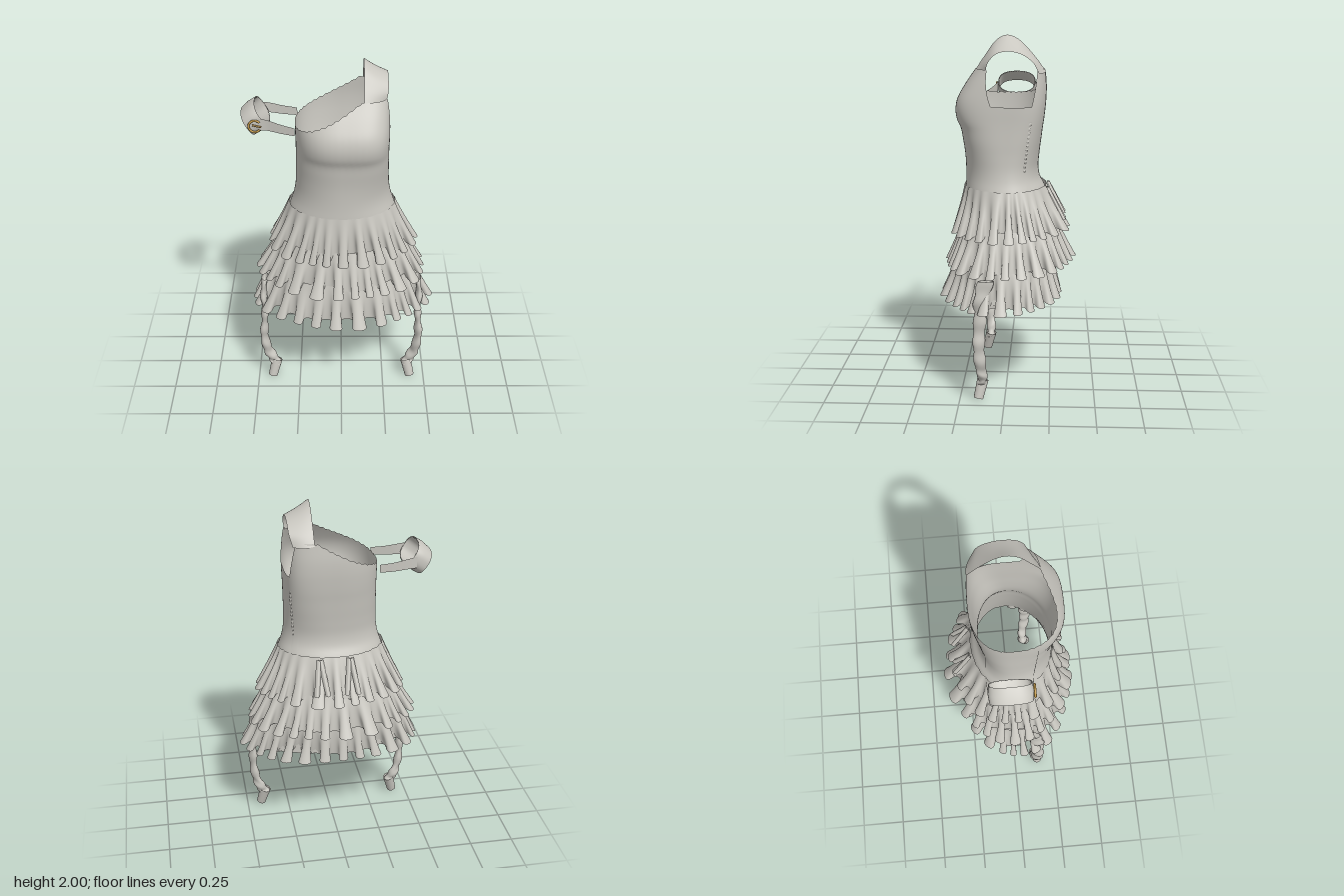
import * as THREE from 'three';

const fabric = new THREE.MeshStandardMaterial({ color: 0xc9c7c0, side: THREE.DoubleSide });
fabric.name = 'grey fabric';
const gold = new THREE.MeshStandardMaterial({ color: 0xc39a4a });
gold.name = 'gold metal';

const { lerp, clamp, smoothstep } = THREE.MathUtils;
const V = (x, y, z) => new THREE.Vector3(x, y, z);

function addMesh(parent, name, geometry, material = fabric) {
  const mesh = new THREE.Mesh(geometry, material);
  mesh.name = name;
  parent.add(mesh);
  return mesh;
}

// Smooth grid surface: point(u, v), u and v in 0..1; wrapped joins u = 1 to u = 0
function loft(cols, rows, wrapped, point) {
  const pos = [], index = [];
  const n = wrapped ? cols : cols + 1;
  for (let j = 0; j <= rows; j++) {
    for (let i = 0; i < n; i++) pos.push(...point(i / cols, j / rows).toArray());
  }
  for (let j = 0; j < rows; j++) {
    for (let i = 0; i < cols; i++) {
      const a = j * n + i, b = j * n + ((i + 1) % n), c = a + n, d = b + n;
      index.push(a, c, b, b, c, d);
    }
  }
  const g = new THREE.BufferGeometry();
  g.setAttribute('position', new THREE.Float32BufferAttribute(pos, 3));
  g.setIndex(index);
  g.computeVertexNormals();
  return g;
}

// Body sections: y, half width, front z, back z
const sections = [
  [0.56, 0.445, 0.295, 0.24], [0.8, 0.375, 0.25, 0.24], [1.05, 0.315, 0.235, 0.225],
  [1.14, 0.296, 0.238, 0.212], [1.2, 0.276, 0.236, 0.183], [1.26, 0.264, 0.236, 0.174],
  [1.34, 0.259, 0.24, 0.18], [1.42, 0.258, 0.25, 0.19], [1.49, 0.257, 0.262, 0.199],
  [1.53, 0.257, 0.28, 0.205], [1.59, 0.258, 0.289, 0.212], [1.65, 0.258, 0.278, 0.217],
  [1.72, 0.256, 0.24, 0.218], [1.82, 0.25, 0.172, 0.21],
];
const profile = new THREE.CubicInterpolant(
  sections.map(s => s[0]), sections.flatMap(s => s.slice(1)), 3, new Float32Array(3));

function bodyPoint(a, y) {
  const [rx, zf, zb] = profile.evaluate(y);
  const c = Math.cos(a), s = Math.sin(a);
  const e = lerp(2.1, c > 0 ? 3.6 : 2.4, smoothstep(y, 1.2, 1.65));
  const r = Math.pow(Math.abs(c) ** e + Math.abs(s) ** e, -1 / e);
  return V(rx * r * c + 0.006, y, (s > 0 ? zf : zb) * r * s);
}

// Top edge: slanted neckline on one side, armhole on the other
function topEdge(a) {
  const p = bodyPoint(a, 1.63);
  const t = clamp((p.x + 0.25) / 0.36, 0, 1);
  if (p.x < 0.14) {
    return lerp(1.65, 1.82, t) - 0.015 * Math.sin(Math.PI * t) + 0.003 * Math.sin(45 * a);
  }
  const k = p.z > 0 ? (p.z - 0.08) / 0.09 : (-p.z - 0.14) / 0.035;
  return lerp(1.62, 1.82, clamp(k, 0, 1));
}

// Ruffled tier: top and bottom are [half width, front z, back z, y]
function ruffle(top, bottom, folds, amp, tilt, seed) {
  return loft(folds * 18, 14, true, (u, v) => {
    const a = u * Math.PI * 2;
    const c = Math.cos(a), s = Math.sin(a);
    const [rx, zf, zb, y] = top.map((n, i) => lerp(n, bottom[i], v));
    const rz = s > 0 ? zf : zb;
    const normal = V(c / rx, 0, s / rz).normalize();
    const tangent = V(-normal.z, 0, normal.x);
    const phase = folds * a + 1.2 * Math.sin(3 * a + seed) + 0.9 * Math.sin(5 * a + seed * 2.3)
      + 0.5 * (1 - v) * Math.sin(9 * a + seed);
    const size = amp * (0.06 + 0.94 * Math.pow(v, 1.4)) * (1 + 0.3 * Math.sin(5 * a + seed * 1.7));
    const p = V(rx * c + 0.004, y - v * (tilt * s + 0.01 * Math.cos(phase)), rz * s);
    p.addScaledVector(normal, size * Math.cos(phase));
    return p.addScaledVector(tangent, 0.42 * size * v * Math.sin(2 * phase));
  });
}

// Flat ribbon along a path with vertical height
function sideRibbon(points, h0, h1) {
  const path = new THREE.CatmullRomCurve3(points);
  return loft(16, 2, false, (u, v) => {
    const p = path.getPoint(u);
    p.y += (v - 0.5) * lerp(h0, h1, u);
    return p;
  });
}

export function createModel() {
  const dress = new THREE.Group();
  dress.name = 'dress';

  // Bodice, running down inside the skirt as its lining
  addMesh(dress, 'bodiceAndLining', loft(240, 72, true, (u, v) => {
    const a = u * Math.PI * 2;
    return bodyPoint(a, lerp(0.56, topEdge(a), v));
  }));

  // Shoulder strap between its neck edge and its arm edge
  const neckEdge = new THREE.CatmullRomCurve3([
    V(0.12, 1.81, 0.174), V(0.12, 1.89, 0.12), V(0.12, 1.975, 0.055), V(0.12, 2, 0),
    V(0.12, 1.98, -0.06), V(0.12, 1.89, -0.15), V(0.12, 1.81, -0.21)]);
  const armEdge = new THREE.CatmullRomCurve3([
    V(0.236, 1.8, 0.11), V(0.248, 1.85, 0.1), V(0.25, 1.9, 0.06), V(0.25, 1.918, 0),
    V(0.25, 1.905, -0.08), V(0.248, 1.86, -0.145), V(0.232, 1.8, -0.178)]);
  addMesh(dress, 'shoulderStrap', loft(40, 8, false, (u, v) => {
    const p = neckEdge.getPoint(u).lerp(armEdge.getPoint(u), v);
    const bulge = Math.sin(Math.PI * v);
    p.y -= 0.006 * bulge;
    p.z += 0.012 * bulge * Math.cos(Math.PI * u);
    return p;
  }));

  // Gathered side seam
  addMesh(dress, 'sideSeam', loft(4, 60, false, (u, v) => {
    const p = bodyPoint(-0.6 + (u - 0.5) * 0.06, lerp(1.26, 1.54, v));
    const lift = 0.002 + 0.002 * Math.sin(Math.PI * u) * (1 + Math.sin(v * 75));
    return p.add(V(lift, 0, -lift));
  }));

  // Three skirt tiers
  addMesh(dress, 'upperRuffle', ruffle([0.3, 0.243, 0.22, 1.16], [0.397, 0.285, 0.322, 0.91], 25, 0.034, 0.012, 1));
  addMesh(dress, 'middleRuffle', ruffle([0.36, 0.256, 0.28, 0.95], [0.455, 0.327, 0.352, 0.725], 26, 0.037, 0.012, 2.6));
  addMesh(dress, 'lowerRuffle', ruffle([0.42, 0.29, 0.262, 0.75], [0.49, 0.345, 0.28, 0.535], 27, 0.038, 0.012, 4.1));

  // Ribbon tails on the back of the upper tier
  for (const x of [-0.07, 0.1]) {
    for (const side of [-1, 1]) {
      addMesh(dress, 'backRibbonTail', loft(6, 14, false, (u, v) => V(
        x + side * (0.028 * v + 0.004) + (u - 0.5) * 0.03,
        1.155 - 0.18 * v,
        -0.222 - 0.095 * v - 0.016 * Math.sin(Math.PI * u))));
    }
  }

  // Arm band with its two links and buckle
  const arm = new THREE.Group();
  arm.name = 'armBand';
  dress.add(arm);
  const axis = V(0.78, 0.62, 0), across = V(-0.55, 0.83, 0);
  const squared = n => Math.sign(n) * Math.abs(n) ** 0.8;
  const outline = (t, grow) => V(-0.47, 1.661, -0.035)
    .addScaledVector(across, (0.074 + grow) * squared(Math.cos(t)))
    .add(V(0, 0, (0.112 + grow) * squared(Math.sin(t))));
  // closed cross-section: outer face, then inner face
  const bandSection = [[-0.048, 0], [0, 0.005], [0.048, 0], [0.046, -0.006], [-0.046, -0.006], [-0.048, 0]];
  addMesh(arm, 'cuff', loft(64, 5, true, (u, v) => {
    const [w, g] = bandSection[Math.round(v * 5)];
    return outline(u * Math.PI * 2, g).addScaledVector(axis, w);
  }));
  addMesh(arm, 'frontLink', sideRibbon(
    [V(-0.25, 1.635, 0.13), V(-0.33, 1.643, 0.105), V(-0.4, 1.655, 0.085), V(-0.45, 1.66, 0.08)], 0.045, 0.07));
  addMesh(arm, 'backLink', sideRibbon(
    [V(-0.245, 1.635, -0.145), V(-0.33, 1.643, -0.152), V(-0.4, 1.655, -0.154), V(-0.45, 1.66, -0.15)], 0.045, 0.065));
  const buckle = addMesh(arm, 'buckleRing', new THREE.TorusGeometry(0.033, 0.006, 10, 32, Math.PI * 1.6), gold);
  buckle.position.set(-0.466, 1.65, 0.087);
  buckle.rotation.z = 0.7;
  const pin = addMesh(arm, 'bucklePin', new THREE.CylinderGeometry(0.005, 0.005, 0.05, 10), gold);
  pin.position.set(-0.455, 1.652, 0.089);
  pin.rotation.z = Math.PI / 2 - 0.25;

  // Twisted garter ribbons with end clips, mirrored
  for (const side of [-1, 1]) {
    const garter = new THREE.Group();
    garter.name = side > 0 ? 'leftGarter' : 'rightGarter';
    dress.add(garter);
    const path = new THREE.CatmullRomCurve3([
      V(0.445, 0.7, 0.1), V(0.455, 0.6, 0.125), V(0.45, 0.5, 0.132), V(0.455, 0.4, 0.138),
      V(0.458, 0.3, 0.138), V(0.443, 0.2, 0.13), V(0.415, 0.13, 0.122), V(0.393, 0.09, 0.128)]);
    addMesh(garter, 'garterRibbon', loft(16, 70, true, (u, v) => {
      const t = u * Math.PI * 2;
      const twist = 1.3 * smoothstep(v, 0.4, 0.95) + 0.4 * Math.sin(v * 16) * v;
      const w = lerp(0.043, 0.033, smoothstep(v, 0, 0.45)) * (1 + 0.1 * Math.sin(v * 42));
      const d = lerp(0.016, 0.026, v) * (1 + 0.18 * Math.cos(v * 38));
      const a = Math.cos(t) * w, b = Math.sin(t) * d;
      const p = path.getPoint(v);
      p.z += a * Math.cos(twist) - b * Math.sin(twist);
      p.x += a * Math.sin(twist) + b * Math.cos(twist);
      p.x *= side;
      return p;
    }));
    const from = V(0.39 * side, 0.115, 0.122), to = V(0.416 * side, 0.012, 0.146);
    const clip = addMesh(garter, 'garterClip', new THREE.CylinderGeometry(0.032, 0.027, from.distanceTo(to), 20, 1, true));
    clip.position.copy(from).lerp(to, 0.5);
    clip.quaternion.setFromUnitVectors(V(0, 1, 0), from.clone().sub(to).normalize());
  }

  return dress;
}
